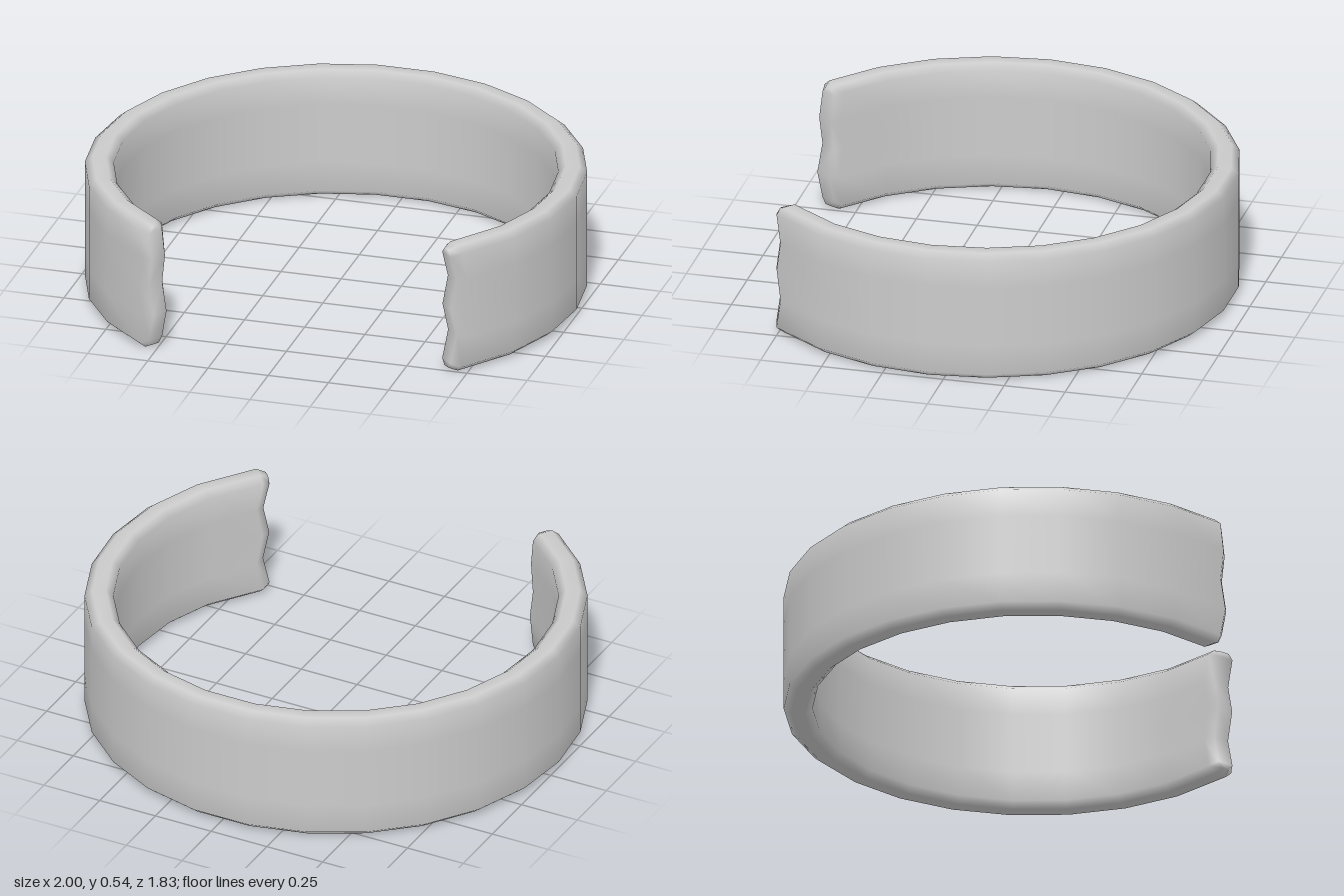
import * as THREE from 'three';

const SIDES = 26, STEP = (Math.PI * 2) / SIDES, CENTRE_Z = 0.07;
const HEIGHT = 0.54, MID_R = 0.943;

// Cross-section [radius, height]: up the outer wall, over the rim, down the inner wall
const rows = [0.025, 0.15, 0.275, 0.4, 0.515];
const section = [
  ...rows.map(y => [1, y]), [0.97, HEIGHT], [0.915, HEIGHT],
  ...rows.slice().reverse().map(y => [0.885, y]), [0.915, 0], [0.97, 0],
];
const N = section.length;

// Zigzag of the two broken ends, as an angle offset at a given height
const zigzag = (y, offsets) => {
  const t = Math.min(3.999, Math.max(0, (y - 0.025) / 0.1225));
  const i = Math.floor(t);
  return offsets[i] + (offsets[i + 1] - offsets[i]) * (t - i);
};
const rightJag = [0, 0.03, 0, 0.02, 0];
const leftJag = [0.03, 0, 0.03, 0, 0.03];

function createBand() {
  const positions = [], index = [];
  let ringCount = 0;

  // Adds one cross-section; inset shrinks it to bevel the broken end
  function addRing(angleAt, inset = false) {
    for (const [r, y] of section) {
      const radius = inset ? MID_R + (r - MID_R) * 0.6 : r;
      const height = inset ? HEIGHT / 2 + (y - HEIGHT / 2) * 0.94 : y;
      const a = angleAt(y);
      positions.push(radius * Math.sin(a), height, CENTRE_Z - radius * Math.cos(a));
    }
    ringCount++;
  }

  // Angles run from the right end, round the back, to the left end
  const start = -10.5 * STEP, end = 9.5 * STEP;
  addRing(y => start - zigzag(y, rightJag) - 0.033, true);
  addRing(y => start - zigzag(y, rightJag));
  for (let k = -9.5; k < 9; k++) addRing(() => k * STEP);
  addRing(y => end + zigzag(y, leftJag));
  addRing(y => end + zigzag(y, leftJag) + 0.038, true);

  // Skin between neighbouring sections
  for (let k = 0; k < ringCount - 1; k++) {
    for (let i = 0; i < N; i++) {
      const j = (i + 1) % N;
      const a = k * N + i, d = k * N + j, c = d + N, b = a + N;
      index.push(a, d, c, a, c, b);
    }
  }

  // End faces, bridged between the outer and inner walls
  const last = (ringCount - 1) * N;
  const pairs = [[13, 12], [0, 11], [1, 10], [2, 9], [3, 8], [4, 7], [5, 6]];
  for (let p = 0; p < pairs.length - 1; p++) {
    const [o0, i0] = pairs[p], [o1, i1] = pairs[p + 1];
    index.push(last + o0, last + o1, last + i1, last + o0, last + i1, last + i0);
    index.push(o0, i1, o1, o0, i0, i1);
  }

  const geometry = new THREE.BufferGeometry();
  geometry.setAttribute('position', new THREE.Float32BufferAttribute(positions, 3));
  geometry.setIndex(index);
  geometry.computeVertexNormals();
  return geometry;
}

export function createModel() {
  const group = new THREE.Group();
  group.name = 'brokenRing';
  const band = new THREE.Mesh(createBand(), new THREE.MeshStandardMaterial({ color: 0xcccccc }));
  band.name = 'band';
  group.add(band);
  return group;
}
